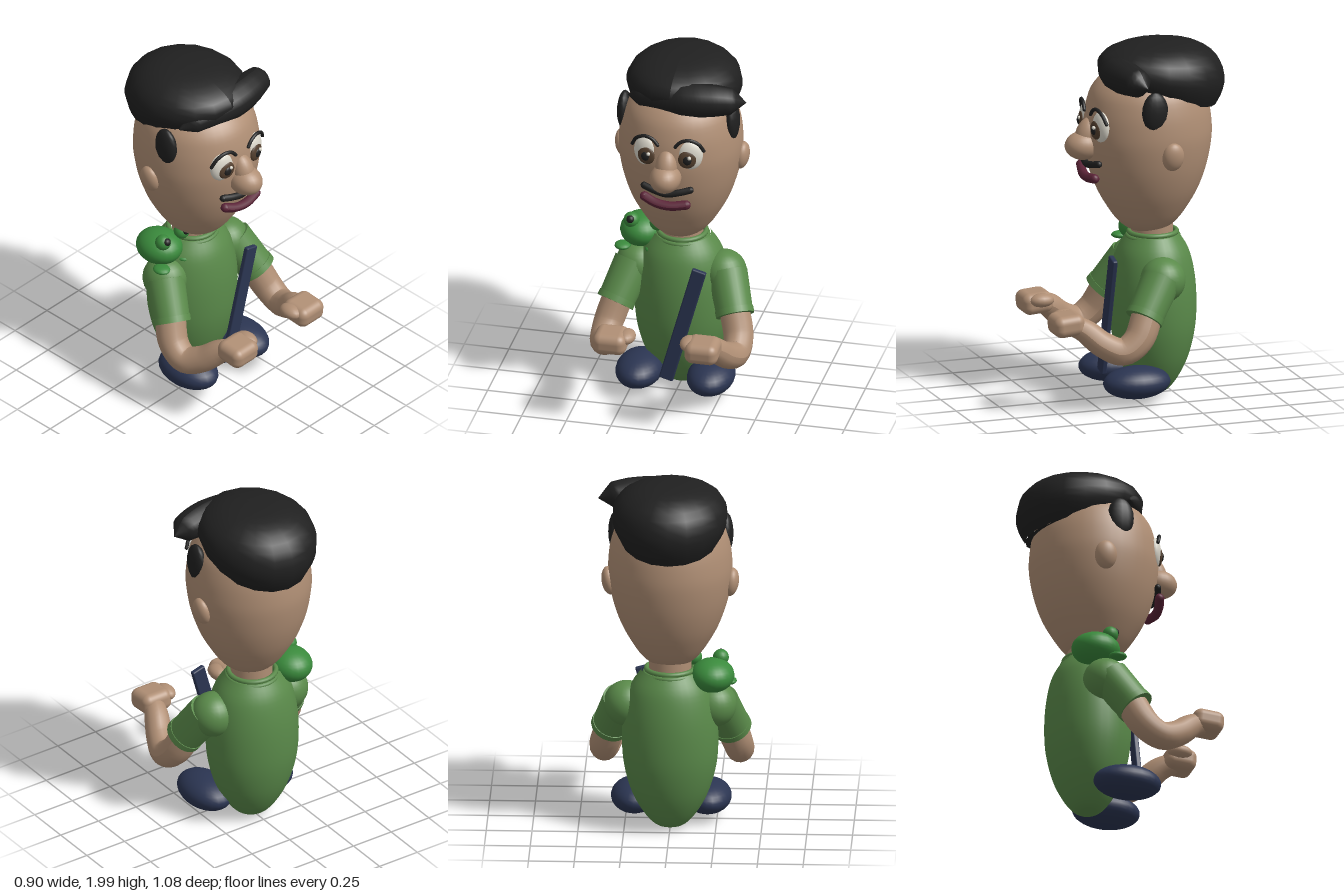
import * as THREE from 'three';
import { RoundedBoxGeometry } from 'three/addons/geometries/RoundedBoxGeometry.js';

const V = (x, y, z) => new THREE.Vector3(x, y, z);

function material(name, color) {
  const m = new THREE.MeshStandardMaterial({ color });
  m.name = name;
  return m;
}

export function createModel() {
  const skin = material('skin', 0xb08f75);
  const shirt = material('shirt green', 0x5a8a4a);
  const black = material('black', 0x202020);
  const navy = material('navy', 0x2b3552);
  const white = material('eye white', 0xdcd8cc);
  const brown = material('iris brown', 0x54402f);
  const lipRed = material('lip maroon', 0x5c2438);
  const frogGreen = material('frog green', 0x3a8a3c);

  const model = new THREE.Group();
  model.name = 'figure';

  function add(name, geometry, mat, pos = [0, 0, 0], parent = model) {
    const mesh = new THREE.Mesh(geometry, mat);
    mesh.name = name;
    mesh.position.set(...pos);
    parent.add(mesh);
    return mesh;
  }

  function ellipsoid(name, mat, pos, radii, parent = model, seg = 24) {
    const g = new THREE.SphereGeometry(1, seg, Math.ceil(seg * 0.7)).scale(...radii);
    return add(name, g, mat, pos, parent);
  }

  // Smooth body of revolution through [radius, height] points
  function lathe(points, seg, steps) {
    const spline = new THREE.SplineCurve(points.map((p) => new THREE.Vector2(...p)));
    const profile = spline.getPoints(steps).map((p) => new THREE.Vector2(Math.max(0, p.x), p.y));
    return new THREE.LatheGeometry(profile, seg);
  }

  // Tube whose thickness follows a list of radii
  function taperedTube(points, radii, steps = 28, sides = 16) {
    const curve = new THREE.CatmullRomCurve3(points.map((p) => V(...p)));
    const g = new THREE.TubeGeometry(curve, steps, 1, sides);
    const pos = g.attributes.position;
    const v = V(0, 0, 0);
    for (let i = 0; i <= steps; i++) {
      const c = curve.getPointAt(i / steps);
      const t = (i / steps) * (radii.length - 1);
      const k = Math.min(Math.floor(t), radii.length - 2);
      const r = THREE.MathUtils.lerp(radii[k], radii[k + 1], t - k);
      for (let j = 0; j <= sides; j++) {
        const n = i * (sides + 1) + j;
        v.fromBufferAttribute(pos, n).sub(c).multiplyScalar(r).add(c);
        pos.setXYZ(n, v.x, v.y, v.z);
      }
    }
    g.computeVertexNormals();
    return g;
  }

  // Round-ended strand for brows, moustache and lips
  function strand(name, mat, points, r) {
    const group = new THREE.Group();
    group.name = name;
    model.add(group);
    add(name + 'Body', taperedTube(points, [r, r], 20, 10), mat, [0, 0, 0], group);
    for (const p of [points[0], points[points.length - 1]])
      ellipsoid(name + 'End', mat, p, [r, r, r], group, 10);
  }

  // Torso, neck and collar
  const torso = lathe([[0, 0.01], [0.07, 0.03], [0.13, 0.1], [0.188, 0.22], [0.225, 0.37], [0.235, 0.52],
    [0.226, 0.68], [0.195, 0.82], [0.14, 0.915]], 36, 36).scale(1.12, 1, 1);
  add('torso', torso, shirt, [0, 0, -0.14]);
  add('neck', new THREE.CylinderGeometry(0.115, 0.115, 0.16, 28), skin, [0, 0.94, -0.135]);
  for (const [y, r] of [[0.925, 0.13], [0.902, 0.138]])
    add('collar', new THREE.TorusGeometry(r, 0.014, 10, 32).rotateX(Math.PI / 2), shirt, [0, y, -0.14]);

  // Egg-shaped head
  const head = lathe([[0, 0.925], [0.085, 0.945], [0.158, 1.0], [0.226, 1.1], [0.276, 1.2], [0.315, 1.32],
    [0.337, 1.45], [0.338, 1.55], [0.322, 1.66], [0.283, 1.76], [0.19, 1.84], [0, 1.88]], 40, 44).scale(1, 1, 1.045);
  add('head', head, skin, [0, 0, -0.107]);

  // Nose
  ellipsoid('noseTip', skin, [0, 1.445, 0.262], [0.086, 0.08, 0.105]);
  ellipsoid('noseBridge', skin, [0, 1.505, 0.245], [0.06, 0.1, 0.062]).rotation.x = -0.35;

  // Cap: level crown over a rim that drops toward the back
  const drop = 0.24;
  const crownHeight = 0.3;
  const crown = lathe([[0.3, 0], [0.335, 0.06], [0.352, 0.13], [0.322, 0.21], [0.235, 0.268], [0.12, 0.295],
    [0, crownHeight]], 18, 14);
  const cp = crown.attributes.position;
  for (let i = 0; i < cp.count; i++)
    cp.setY(i, cp.getY(i) + cp.getZ(i) * drop * (1 - cp.getY(i) / crownHeight));
  crown.computeVertexNormals();
  const cap = new THREE.Group();
  cap.name = 'cap';
  cap.position.set(0, 1.7, -0.187);
  cap.scale.set(0.9, 1, 1);
  model.add(cap);
  add('capCrown', crown, black, [0, 0, 0], cap);
  const underside = new THREE.CircleGeometry(0.3, 18).rotateX(Math.PI / 2).scale(1, 1, Math.hypot(1, drop));
  add('capUnderside', underside, black, [0, 0, 0], cap).rotation.x = -Math.atan(drop);

  // Swept front lobe, thicker toward the left
  add('capLobe', taperedTube([[-0.27, 1.805, 0.02], [-0.1, 1.835, 0.06], [0.1, 1.85, 0.085], [0.28, 1.852, 0.062],
    [0.4, 1.84, 0.03]], [0, 0.06, 0.078, 0.09, 0.097, 0.095, 0.088, 0.075, 0], 32, 14), black);

  // Moustache and lips
  strand('moustache', black, [[-0.13, 1.365, 0.22], [-0.07, 1.35, 0.236], [0, 1.337, 0.242],
    [0.07, 1.35, 0.236], [0.13, 1.365, 0.22]], 0.019);
  strand('lips', lipRed, [[-0.125, 1.305, 0.232], [-0.06, 1.28, 0.247], [0.02, 1.27, 0.251],
    [0.11, 1.28, 0.237]], 0.026);

  for (const s of [1, -1]) {
    const side = s > 0 ? 'left' : 'right';

    // Eye, iris, pupil, glint and brow
    ellipsoid(side + 'Eye', white, [s * 0.123, 1.57, 0.2], [0.071, 0.09, 0.04]).rotation.y = s * 0.25;
    ellipsoid(side + 'Iris', brown, [s * 0.115, 1.557, 0.232], [0.05, 0.053, 0.018]).rotation.y = s * 0.2;
    ellipsoid(side + 'Pupil', black, [s * 0.115, 1.557, 0.243], [0.026, 0.028, 0.014]);
    ellipsoid(side + 'Glint', white, [s * 0.115 + 0.016, 1.575, 0.25], [0.011, 0.011, 0.011], model, 10);
    strand(side + 'Brow', black, [[s * 0.2, 1.605, 0.2], [s * 0.175, 1.648, 0.214], [s * 0.125, 1.673, 0.228],
      [s * 0.077, 1.66, 0.235], [s * 0.05, 1.63, 0.238]], 0.01);

    // Ear and sideburn
    ellipsoid(side + 'Ear', skin, [s * 0.333, 1.425, -0.138], [0.042, 0.08, 0.062]).rotation.z = -s * 0.15;
    ellipsoid(side + 'Sideburn', black, [s * 0.302, 1.675, -0.045], [0.04, 0.115, 0.075], model, 14);

    // Shoulder and short sleeve
    ellipsoid(side + 'Shoulder', shirt, [s * 0.24, 0.71, -0.112], [0.125, 0.125, 0.125]);
    const top = V(s * 0.262, 0.72, -0.095);
    const hem = V(s * 0.335, 0.53, 0.03);
    const axis = hem.clone().sub(top);
    const sleeve = new THREE.Group();
    sleeve.name = side + 'Sleeve';
    sleeve.position.copy(top).add(hem).multiplyScalar(0.5);
    sleeve.quaternion.setFromUnitVectors(V(0, -1, 0), axis.clone().normalize());
    model.add(sleeve);
    const half = axis.length() / 2;
    add('sleeveBody', new THREE.CylinderGeometry(0.11, 0.101, half * 2, 28), shirt, [0, 0, 0], sleeve);
    add('sleeveHem', new THREE.CylinderGeometry(0.106, 0.106, 0.035, 28), shirt, [0, -half + 0.012, 0], sleeve);

    // Bent arm and closed hand
    const arm = taperedTube([[s * 0.32, 0.57, 0.0], [s * 0.365, 0.42, 0.075], [s * 0.368, 0.362, 0.165],
      [s * 0.335, 0.4, 0.265], [s * 0.29, 0.48, 0.362], [s * 0.262, 0.515, 0.44]],
    [0.085, 0.085, 0.079, 0.074, 0.069, 0.055]);
    add(side + 'Arm', arm, skin);
    const hand = add(side + 'Hand', new RoundedBoxGeometry(0.185, 0.12, 0.175, 5, 0.045), skin,
      [s * 0.257, 0.518, 0.455]);
    hand.rotation.x = 0.08;
    ellipsoid(side + 'Thumb', skin, [s * 0.175, 0.54, 0.44], [0.05, 0.038, 0.07], model, 16);

    // Shoe
    ellipsoid(side + 'Shoe', navy, [s * 0.2, 0.135, 0.025], [0.13, 0.09, 0.19]);
  }

  // Slanted flat bar in front of the body
  add('bar', new RoundedBoxGeometry(0.08, 0.71, 0.03, 2, 0.008), navy, [0.07, 0.493, 0.148]).rotation.z = -0.267;

  // Frog sitting on the right shoulder
  const frog = new THREE.Group();
  frog.name = 'frog';
  frog.position.set(-0.232, 0.895, -0.165);
  model.add(frog);
  ellipsoid('frogBody', frogGreen, [0, 0, 0], [0.12, 0.092, 0.135], frog);
  for (const s of [1, -1]) {
    const x = 0.03 + s * 0.073;
    ellipsoid('frogEye', frogGreen, [x, 0.08, 0.07], [0.044, 0.044, 0.044], frog, 16);
    ellipsoid('frogPupil', black, [x, 0.095, 0.097], [0.023, 0.023, 0.023], frog, 12);
    ellipsoid('frogFoot', frogGreen, [s * 0.085, -0.065, 0.1], [0.045, 0.02, 0.05], frog, 14);
  }

  return model;
}
